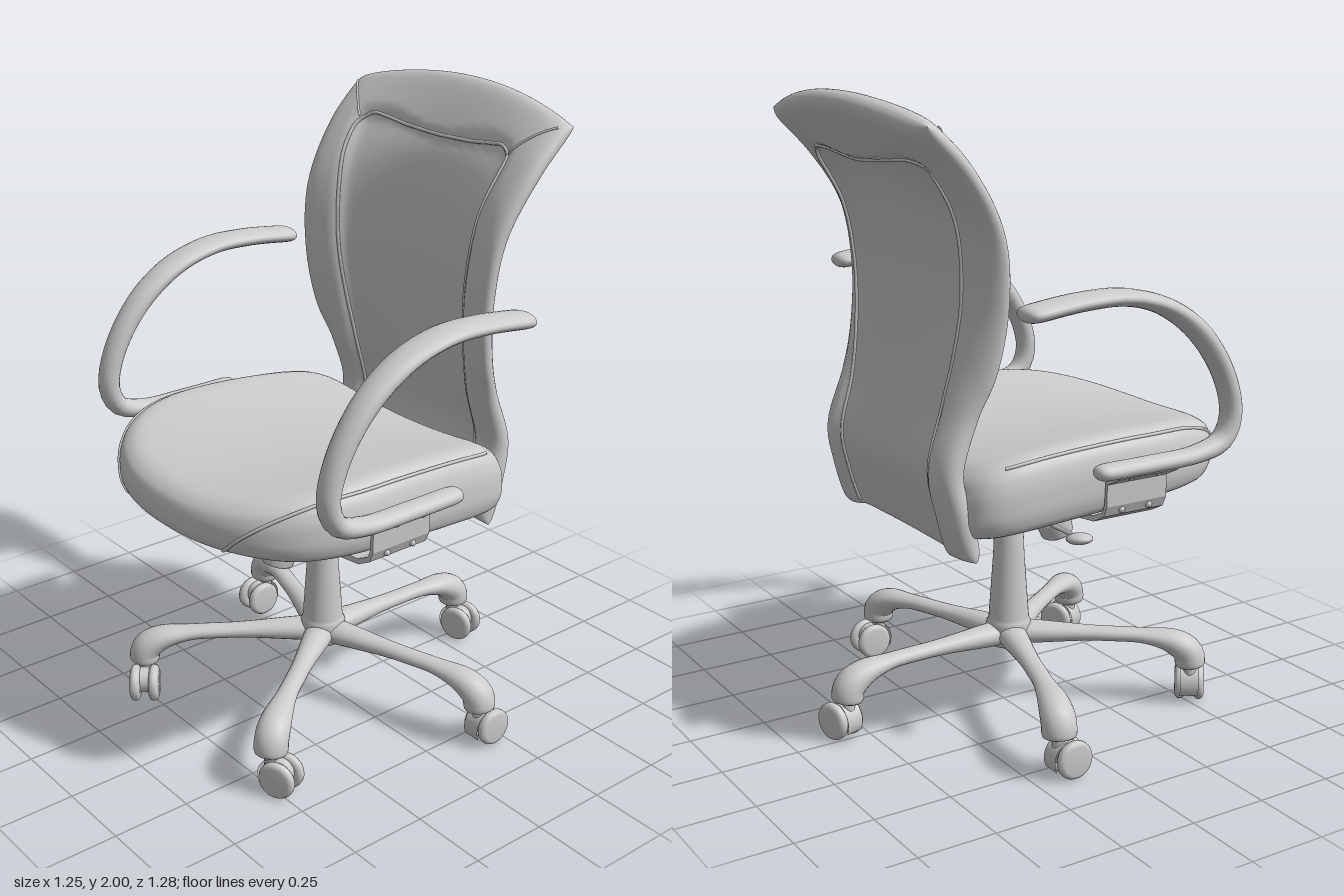
import * as THREE from 'three';
import { RoundedBoxGeometry } from 'three/addons/geometries/RoundedBoxGeometry.js';

const V = (x, y, z) => new THREE.Vector3(x, y, z);
const spline = (pts) => new THREE.CatmullRomCurve3(pts.map((p) => V(...p)));
const grey = new THREE.MeshStandardMaterial({ color: 0xcccccc });
const greyDouble = new THREE.MeshStandardMaterial({ color: 0xcccccc, side: THREE.DoubleSide });
const smooth = THREE.MathUtils.smoothstep;

function add(parent, name, geometry, pos = [0, 0, 0], material = grey) {
  const mesh = new THREE.Mesh(geometry, material);
  mesh.name = name;
  mesh.position.set(...pos);
  parent.add(mesh);
  return mesh;
}

// Skin over closed rings; the winding is turned outward by the sign of the volume.
function loft(rings) {
  const n = rings[0].length, pts = rings.flat(), idx = [];
  for (let i = 0; i < rings.length - 1; i++) {
    for (let j = 0; j < n; j++) {
      const a = i * n + j, b = i * n + (j + 1) % n;
      idx.push(a, b, a + n, b, b + n, a + n);
    }
  }
  let volume = 0;
  for (let i = 0; i < idx.length; i += 3) {
    volume += pts[idx[i]].dot(pts[idx[i + 1]].clone().cross(pts[idx[i + 2]]));
  }
  if (volume < 0) idx.reverse();
  const g = new THREE.BufferGeometry().setFromPoints(pts);
  g.setIndex(idx);
  g.computeVertexNormals();
  return g;
}

// Elliptical sweep along a curve lying in a plane of constant x, rounded at both ends.
function sweep(curve, n, size, endRound) {
  const rings = [], side = V(1, 0, 0);
  for (let i = 0; i <= n; i++) {
    const t = 0.5 - 0.5 * Math.cos(Math.PI * i / n);
    const p = curve.getPointAt(t), up = curve.getTangentAt(t).cross(side).normalize();
    const f = Math.sqrt(Math.max(0, 1 - Math.abs(2 * t - 1) ** endRound));
    const [w, h] = size(t), ring = [];
    for (let j = 0; j < 20; j++) {
      const a = j / 20 * Math.PI * 2;
      ring.push(p.clone().addScaledVector(side, w * f * Math.cos(a)).addScaledVector(up, h * f * Math.sin(a)));
    }
    rings.push(ring);
  }
  return loft(rings);
}

// Piping that follows a surface: a smooth path in surface parameters, mapped to space
function piping(params, surface, r) {
  const path = spline(params.map(([a, b]) => [a, b, 0])).getPoints(120);
  return new THREE.TubeGeometry(new THREE.CatmullRomCurve3(path.map((p) => surface(p.x, p.y))), 160, r, 6);
}
const lathe = (pts, seg = 32) => new THREE.LatheGeometry(pts.map((p) => new THREE.Vector2(...p)), seg);

// Seat cushion: rounded outline, rim profile (scale, height) and saddle-shaped top
const rim = spline([[0, 0, 0], [.45, 0, 0], [.86, 0, 0], [.955, .04, 0], [.992, .18, 0], [1, .42, 0],
  [.988, .66, 0], [.95, .85, 0], [.87, .97, 0], [.7, 1, 0], [.4, 1, 0], [0, 1, 0]]);
const seatBottom = (x, z) => .723 + .08 * z + .04 * (x / .5) ** 2 + .025 * smooth(z, .42, .66);
function seatPoint(th, k) {
  const c = Math.cos(th), s = Math.sin(th), n = s > 0 ? 2.5 : 9;
  const r = (Math.abs(c / .51) ** n + Math.abs(s / (s > 0 ? .438 : .585)) ** n) ** (-1 / n);
  const p = rim.getPoint(k), z = .2 + r * s * p.x;
  const x = r * c * p.x * (1 - .05 * smooth(-z, -.2, .38));
  const top = 1.01 - .17 * (z - .2) ** 2 - .045 * (1 - Math.min(1, (x / .46) ** 2));
  const bottom = seatBottom(x, z);
  return V(x, bottom + (top - bottom) * p.y, z);
}

function buildSeat(root) {
  const rings = [];
  for (let i = 0; i <= 50; i++) {
    rings.push(Array.from({ length: 104 }, (_, j) => seatPoint(j / 104 * Math.PI * 2, i / 50)));
  }
  add(root, 'seatCushion', loft(rings));
  // thin pan under the cushion
  const pan = [[0, -.01], [.3, -.01], [.86, -.01], [.9, -.004], [.9, .02], [0, .02]].map(([s, dy]) =>
    Array.from({ length: 60 }, (_, j) => {
      const p = seatPoint(j / 60 * Math.PI * 2, .25);
      const x = p.x * s, z = .2 + (p.z - .2) * s;
      return V(x, seatBottom(x, z) + dy, z);
    }));
  add(root, 'seatPan', loft(pan));
  const seam = [[-.8, .66], [-.4, .655], [0, .655], [.35, .65], [.6, .6], [.8, .5], [.93, .39], [1, .28]];
  for (const m of [1, -1]) {
    add(root, 'seatSeam', piping(seam, (th, k) => seatPoint(th, k).multiply(V(m, 1, 1)), .006));
  }
}

// Backrest: centre and edge profiles (half width, y, z) blended across the width
const centreLine = spline([[0, .67, -.35], [0, .8, -.395], [0, .92, -.422], [0, 1.1, -.395], [0, 1.35, -.382],
  [0, 1.55, -.39], [0, 1.75, -.435], [0, 1.85, -.49], [0, 1.995, -.59]]);
const edgeLine = spline([[.395, .655, -.342], [.398, .8, -.38], [.393, .92, -.4], [.39, 1.08, -.343], [.412, 1.2, -.29],
  [.434, 1.39, -.26], [.455, 1.6, -.283], [.475, 1.79, -.397], [.48, 1.925, -.54]]);
const panelTop = (u) => .83 + .05 * smooth(Math.abs(u), 0, .6);
function backMid(u, v) {
  const c = centreLine.getPoint(v), e = edgeLine.getPoint(v);
  const p = c.clone().lerp(e, u * u);
  p.x = e.x * u;
  return p;
}
function backPoint(u, v, side, lift = 0) {
  const d = .004, v0 = Math.max(0, v - d), v1 = Math.min(1, v + d);
  const du = backMid(u + d, v).sub(backMid(u - d, v)), dv = backMid(u, v1).sub(backMid(u, v0));
  const panel = (1 - smooth(Math.abs(u), .68, .78)) * (1 - smooth(v, panelTop(u) - .02, panelTop(u) + .025));
  const round = Math.sqrt(Math.max(0, 1 - Math.abs(u) ** 12)) * Math.sqrt(Math.max(0, 1 - Math.abs(2 * v - 1) ** 36));
  const border = .04 + .008 * (1 - smooth(v, .15, .5));
  const half = THREE.MathUtils.lerp(border, .018, panel) * round;
  return backMid(u, v).addScaledVector(du.cross(dv).normalize(), side * (half + lift));
}

function buildBack(root) {
  const rings = [], nu = 56, nv = 72;
  const ease = (t) => .5 - .5 * Math.cos(Math.PI * t);
  for (let i = 0; i <= nv; i++) {
    const v = ease(i / nv), ring = [];
    for (let j = 0; j < nu; j++) ring.push(backPoint(2 * ease(j / nu) - 1, v, 1));
    for (let j = nu; j > 0; j--) ring.push(backPoint(2 * ease(j / nu) - 1, v, -1));
    rings.push(ring);
  }
  add(root, 'backrest', loft(rings));
  // piping round the inner panel on both faces
  const half = [[.7, .02], [.7, .15], [.7, .3], [.71, .45], [.73, .6], [.74, .72], [.75, .81], [.735, .86],
    [.65, .882], [.5, .873], [.3, .85]];
  const outline = [...half, [0, .833], ...half.slice().reverse().map(([u, v]) => [-u, v])];
  for (const side of [1, -1]) {
    add(root, 'backPanelPiping', piping(outline, (u, v) => backPoint(u, v, side, .001), .006));
  }
  for (const m of [1, -1]) {
    const seam = [[.73, .875], [.8, .91], [.88, .945], [.95, .975]];
    add(root, 'backCornerSeam', piping(seam, (u, v) => backPoint(m * u, v, 1, .001), .004));
  }
}

// Armrest loop, side bracket and bolts, built for the left side
function buildArm() {
  const arm = new THREE.Group();
  arm.name = 'armrest';
  const path = spline([[.567, 1.41, -.3], [.567, 1.432, -.1], [.567, 1.43, .05], [.567, 1.385, .2], [.567, 1.29, .33],
    [.567, 1.15, .425], [.567, 1.03, .453], [.567, .957, .42], [.567, .928, .33], [.567, .922, .15], [.567, .922, -.045]]);
  add(arm, 'armLoop', sweep(path, 80, (t) => [.058 - .02 * smooth(t, .2, .65),
    .026 + .007 * smooth(t, .25, .45) * (1 - smooth(t, .65, .8))], 60));
  const s = new THREE.Shape([[.575, .908], [.535, .89], [.512, .872], [.508, .8], [.497, .775], [.45, .752], [.28, .735],
    [.28, .715], [.455, .735], [.505, .762], [.52, .795], [.522, .865], [.58, .895]].map((p) => new THREE.Vector2(...p)));
  add(arm, 'armBracket', new THREE.ExtrudeGeometry(s, { depth: .22, bevelEnabled: false }), [0, 0, .03]);
  for (const z of [.09, .19]) {
    for (const [x, y] of [[.513, .778], [.555, .888], [.4, .729], [.32, .72]]) {
      add(arm, 'bolt', new THREE.SphereGeometry(.011, 10, 8), [x, y, z]);
    }
  }
  return arm;
}

// Tilt mechanism, back support bar, tension knob and lever
function buildMechanism(root) {
  add(root, 'mechanismHousing', new RoundedBoxGeometry(.18, .06, .3, 3, .015), [0, .715, .06]);
  const bar = spline([[0, .71, .15], [0, .695, .02], [0, .682, -.15], [0, .68, -.36]]);
  add(root, 'backSupportBar', sweep(bar, 24, (t) => [.05 + .05 * t, .014], 80));
  const knob = new THREE.Group();
  knob.name = 'tensionKnob';
  knob.position.set(0, .73, .145);
  knob.rotation.x = -.33;
  const ridges = [];
  for (let i = 0; i <= 48; i++) ridges.push([.047 + .006 * Math.cos(i / 48 * Math.PI * 16), -.14 + i / 48 * .15]);
  add(knob, 'spring', lathe(ridges), [0, 0, 0], greyDouble);
  add(knob, 'knobCap', lathe([[0, -.205], [.045, -.205], [.054, -.198], [.059, -.15], [.055, -.135], [0, -.135]]));
  root.add(knob);
  const rod = add(root, 'leverRod', new THREE.CylinderGeometry(.007, .007, .4, 10), [-.28, .715, -.06]);
  rod.rotation.z = Math.PI / 2;
  const paddle = add(root, 'leverPaddle', new THREE.SphereGeometry(1, 20, 12), [-.51, .713, -.06]);
  paddle.scale.set(.046, .017, .038);
  paddle.rotation.z = -.15;
}

// Twin-wheel caster trailing toward its own -z
function buildCaster() {
  const c = new THREE.Group();
  c.name = 'caster';
  add(c, 'stem', new THREE.CylinderGeometry(.022, .022, .06, 16), [0, .115, 0]);
  const profile = [[0, -.017], [.045, -.017], [.056, -.012], [.06, -.005], [.06, .005], [.056, .012], [.045, .017], [0, .017]];
  for (const m of [1, -1]) {
    const wheel = add(c, 'wheel', lathe(profile, 28), [m * .031, .06, -.035]);
    wheel.rotation.z = Math.PI / 2;
  }
  const core = add(c, 'casterBody', new THREE.CylinderGeometry(.042, .042, .03, 24), [0, .07, -.03]);
  core.rotation.z = Math.PI / 2;
  const hood = add(c, 'casterHood',
    new THREE.CylinderGeometry(.066, .066, .06, 20, 1, true, -.5, 2.1), [0, .062, -.032], greyDouble);
  hood.rotation.z = Math.PI / 2;
  return c;
}

// Five-star base and gas column
function buildBase(root) {
  const base = new THREE.Group();
  base.name = 'base';
  base.position.z = .02;
  root.add(base);
  add(base, 'gasColumn', lathe([[0, .195], [.06, .195], [.072, .21], [.074, .27], [.068, .28], [.066, .29], [.051, .5],
    [.046, .62], [.042, .635], [.022, .637], [.022, .72]]));
  const path = spline([[0, .235, 0], [0, .235, .15], [0, .233, .32], [0, .228, .45], [0, .21, .54], [0, .175, .588], [0, .125, .597]]);
  const legGeo = sweep(path, 40, (t) => [.05 - .018 * smooth(t, 0, .45) + .022 * smooth(t, .6, .92),
    .04 - .016 * smooth(t, 0, .5) + .026 * smooth(t, .65, .95)], 80);
  // leg angle from the front and caster heading
  const legs = [[36, -1.15], [108, 0], [180, -1.3], [252, Math.PI], [324, Math.PI + .9]];
  for (const [deg, heading] of legs) {
    const a = deg * Math.PI / 180;
    add(base, 'baseLeg', legGeo).rotation.y = a;
    const caster = buildCaster();
    caster.position.set(.595 * Math.sin(a), 0, .595 * Math.cos(a));
    caster.rotation.y = heading;
    base.add(caster);
  }
}

export function createModel() {
  const root = new THREE.Group();
  root.name = 'officeChair';
  buildSeat(root);
  buildBack(root);
  const left = buildArm(), right = buildArm();
  right.scale.x = -1;
  root.add(left, right);
  buildMechanism(root);
  buildBase(root);
  return root;
}
